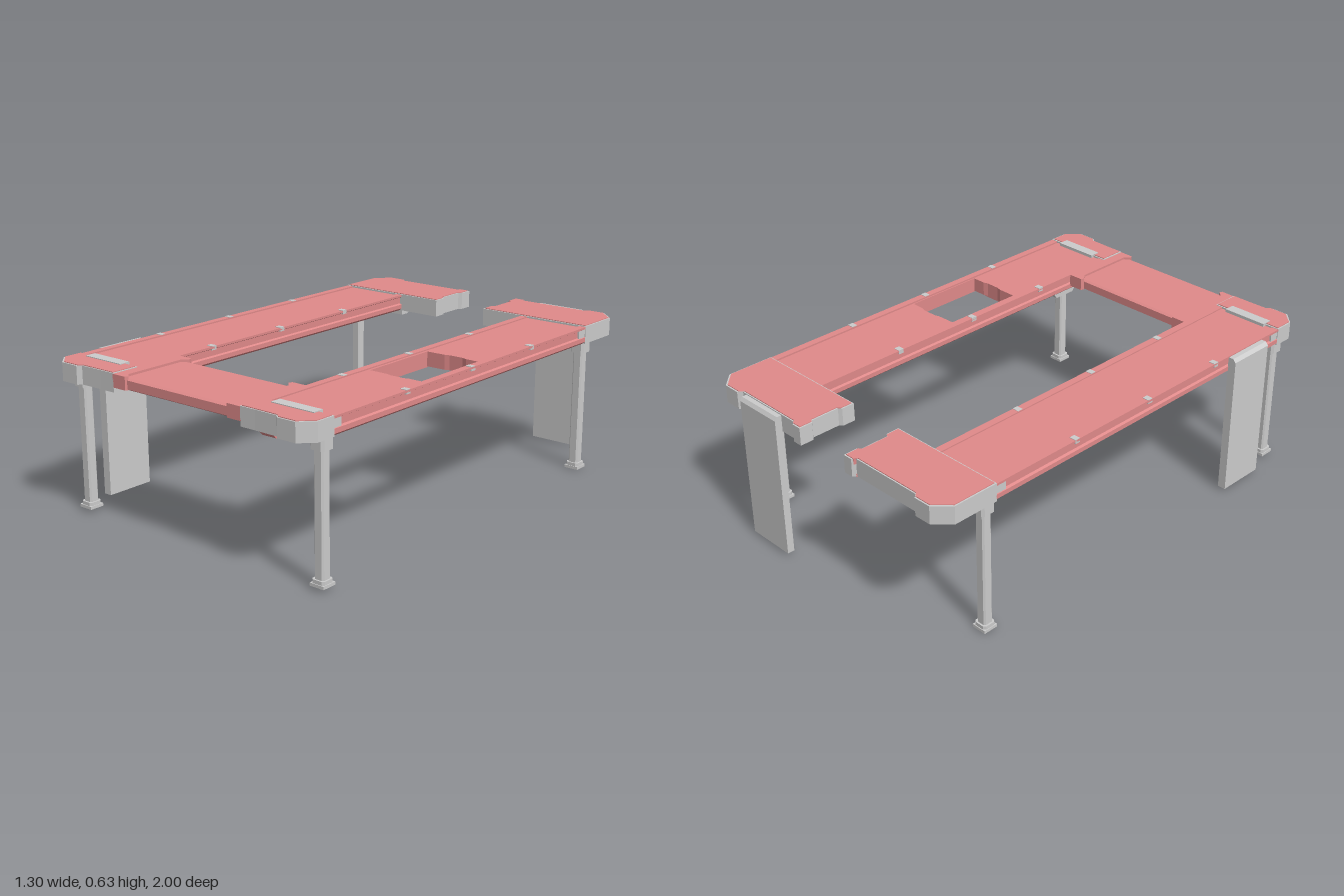
import * as THREE from 'three';

const grey = new THREE.MeshStandardMaterial({ color: 0xcccccc, flatShading: true });
const pink = new THREE.MeshStandardMaterial({ color: 0xe08a8a, flatShading: true });

export function createModel() {
  const model = new THREE.Group();
  model.name = 'platform';
  const MID = 0.013; // x of the symmetry plane

  const add = (name, geo, mat) => {
    const mesh = new THREE.Mesh(geo, mat);
    mesh.name = name;
    model.add(mesh);
    return mesh;
  };
  const box = (name, mat, [x0, x1], [y0, y1], [z0, z1]) =>
    add(name, new THREE.BoxGeometry(Math.abs(x1 - x0), y1 - y0, Math.abs(z1 - z0))
      .translate((x0 + x1) / 2, (y0 + y1) / 2, (z0 + z1) / 2), mat);
  const shapeOf = (pts) => new THREE.Shape(pts.map(([a, b]) => new THREE.Vector2(a, b)));
  const extrude = (shape, depth) => new THREE.ExtrudeGeometry(shape, { depth, bevelEnabled: false });
  // horizontal slab from an [x, z] outline
  const slab = (name, mat, pts, y0, y1, hole) => {
    const shape = shapeOf(pts);
    if (hole) shape.holes.push(shapeOf(hole));
    return add(name, extrude(shape, y1 - y0).rotateX(Math.PI / 2).translate(0, y1, 0), mat);
  };
  // [x, y] profile run along z
  const alongZ = (name, mat, pts, z0, z1) =>
    add(name, extrude(shapeOf(pts), z1 - z0).translate(0, 0, z0), mat);
  // [z, y] profile run along x
  const alongX = (name, mat, pts, x0, x1) =>
    add(name, extrude(shapeOf(pts.map(([z, y]) => [-z, y])), x1 - x0)
      .rotateY(Math.PI / 2).translate(x0, 0, 0), mat);
  const inset = (pts, d) => {
    const xs = pts.map((p) => p[0]), zs = pts.map((p) => p[1]);
    const fit = (v, a) => {
      const lo = Math.min(...a), hi = Math.max(...a), c = (lo + hi) / 2;
      return c + (v - c) * (1 - 2 * d / (hi - lo));
    };
    return pts.map(([x, z]) => [fit(x, xs), fit(z, zs)]);
  };

  const backOutline = [[0.125, -0.73], [0.125, -0.785], [0.138, -0.795], [0.138, -0.915], [0.125, -0.925],
    [0.125, -0.982], [0.165, -0.982], [0.175, -0.968], [0.485, -0.968], [0.5, -0.985], [0.572, -0.985],
    [0.632, -0.925], [0.632, -0.73]];
  const frontOutline = [[0.317, 0.86], [0.317, 0.978], [0.385, 0.978], [0.485, 0.98], [0.5, 0.995],
    [0.58, 0.995], [0.632, 0.943], [0.632, 0.86]];

  for (const s of [-1, 1]) {
    const X = (x) => MID + s * x;
    const side = s > 0 ? 'left' : 'right';
    const flip = (pts) => pts.map(([x, y]) => [X(x), y]);

    // corner blocks with coloured top and bottom plates
    for (const [name, outline] of [['BackBlock', backOutline], ['FrontBlock', frontOutline]]) {
      const pts = flip(outline);
      slab(side + name, grey, pts, 0.549, 0.622);
      slab(side + name + 'Top', pink, inset(pts, 0.006), 0.6, 0.625);
    }
    slab(side + 'BackBlockUnderside', pink, inset(flip(backOutline), 0.012), 0.547, 0.56);

    // deck panel, with an opening on the left one
    const hole = s > 0 && [[0.37, -0.018], [0.45, -0.02], [0.47, -0.026], [0.53, -0.026], [0.55, -0.02], [0.608, -0.018],
      [0.608, 0.332], [0.55, 0.332], [0.53, 0.338], [0.47, 0.338], [0.45, 0.332], [0.37, 0.332]];
    slab(side + 'Deck', pink, flip([[0.345, -0.735], [0.599, -0.735], [0.599, 0.865], [0.345, 0.865]]), 0.556, 0.615, hole);

    // grooved rails on both edges of the deck
    const rail = [[0, 0.548], [0.018, 0.548], [0.03, 0.558], [0.03, 0.576], [0.02, 0.58], [0.02, 0.606],
      [0.03, 0.611], [0.03, 0.62], [0, 0.62]];
    alongZ(side + 'OuterRail', pink, flip(rail.map(([x, y]) => [0.602 + x, y])), -0.735, 0.865);
    alongZ(side + 'InnerRail', pink, flip(rail.map(([x, y]) => [0.347 - x, y])), -0.735, 0.865);
    for (const z of [-0.33, 0.067, 0.46]) {
      box('railClip', grey, [X(0.604), X(0.632)], [0.605, 0.622], [z - 0.012, z + 0.012]);
      box('railClip', grey, [X(0.317), X(0.345)], [0.605, 0.622], [z - 0.012, z + 0.012]);
    }
    // sleeves where the outer rail enters the blocks
    for (const z of [[-0.73, -0.685], [0.82, 0.86]])
      box('railSleeve', grey, [X(0.605), X(0.629)], [0.575, 0.614], z);

    // hatch strip on the front end
    box(side + 'Hatch', grey, [X(0.377), X(0.569)], [0.61, 0.628], [0.845, 0.89]);

    // legs with a top bracket and a flared foot
    for (const [name, z, floor] of [['FrontLeg', 0.88, 0.014], ['BackLeg', -0.76, 0]]) {
      const ring = (r) => [[r, -0.7 * r], [r, 0.7 * r], [0.7 * r, r], [-0.7 * r, r], [-r, 0.7 * r],
        [-r, -0.7 * r], [-0.7 * r, -r], [0.7 * r, -r]].map(([a, b]) => [X(0.593) + a, z + b]);
      slab(side + name, grey, ring(0.021), floor + 0.01, 0.55);
      slab(side + name + 'Bracket', grey, ring(0.031), 0.505, 0.55);
      box(side + name + 'Foot', grey, [X(0.562), X(0.624)], [floor, floor + 0.012], [z - 0.031, z + 0.031]);
      slab(side + name + 'Ankle', grey, ring(0.028), floor + 0.01, floor + 0.026);
    }

    // bridge end collars
    slab(side + 'BridgeCollar', pink, flip([[0.32, 0.645], [0.255, 0.645], [0.25, 0.66], [0.272, 0.685],
      [0.272, 0.945], [0.25, 0.965], [0.255, 0.978], [0.32, 0.978]]), 0.568, 0.62);
  }

  // front bridge between the two decks
  alongX('bridge', pink, [[0.66, 0.572], [0.67, 0.566], [0.96, 0.566], [0.97, 0.572], [0.97, 0.605],
    [0.96, 0.611], [0.67, 0.611], [0.66, 0.605]], -0.3, 0.326);

  // hanging panels
  alongZ('rightHangingPanel', grey, [[-0.617, 0.013], [-0.652, 0.013], [-0.652, 0.602], [-0.64, 0.616],
    [-0.617, 0.616]], 0.54, 0.75);
  alongX('backHangingPanel', grey, [[-0.97, 0.013], [-1, 0.013], [-1, 0.605], [-0.99, 0.62], [-0.97, 0.62]], 0.262, 0.475);

  // fittings under the right deck
  const tray = (name, mat, x0, x1, z0, z1, y) =>
    alongX(name, mat, [[z0, 0.558], [z0 + 0.02, y], [z1 - 0.02, y], [z1, 0.558]], x0, x1);
  tray('rightFrontTray', grey, -0.45, -0.35, 0.46, 0.6, 0.525);
  tray('rightFrontVent', grey, -0.54, -0.45, 0.67, 0.77, 0.54);
  tray('rightMiddlePlate', grey, -0.55, -0.42, -0.08, 0.1, 0.55);
  tray('rightBackTray', grey, -0.58, -0.49, -0.38, -0.25, 0.528);
  tray('rightBackVent', grey, -0.46, -0.38, -0.27, -0.13, 0.54);
  tray('rightBackDuct', pink, -0.48, -0.42, -0.86, -0.5, 0.522);
  alongX('rightBackBracket', grey, [[-0.84, 0.55], [-0.84, 0.497], [-0.88, 0.497], [-0.935, 0.525], [-0.935, 0.55]], -0.51, -0.385);

  // fittings under the left deck
  alongX('leftFrontDuct', pink, [[0.96, 0.556], [0.92, 0.515], [0.86, 0.515], [0.82, 0.54], [0.4, 0.54], [0.38, 0.556]], 0.375, 0.44);
  box('leftDuctBox', pink, [0.44, 0.56], [0.542, 0.56], [0.35, 0.45]);
  tray('leftFrontTray', grey, 0.34, 0.42, 0.55, 0.69, 0.53);
  tray('leftBackTray', grey, 0.48, 0.57, -0.5, -0.35, 0.53);
  tray('leftMiddleVent', grey, 0.37, 0.46, -0.2, -0.1, 0.54);

  return model;
}
